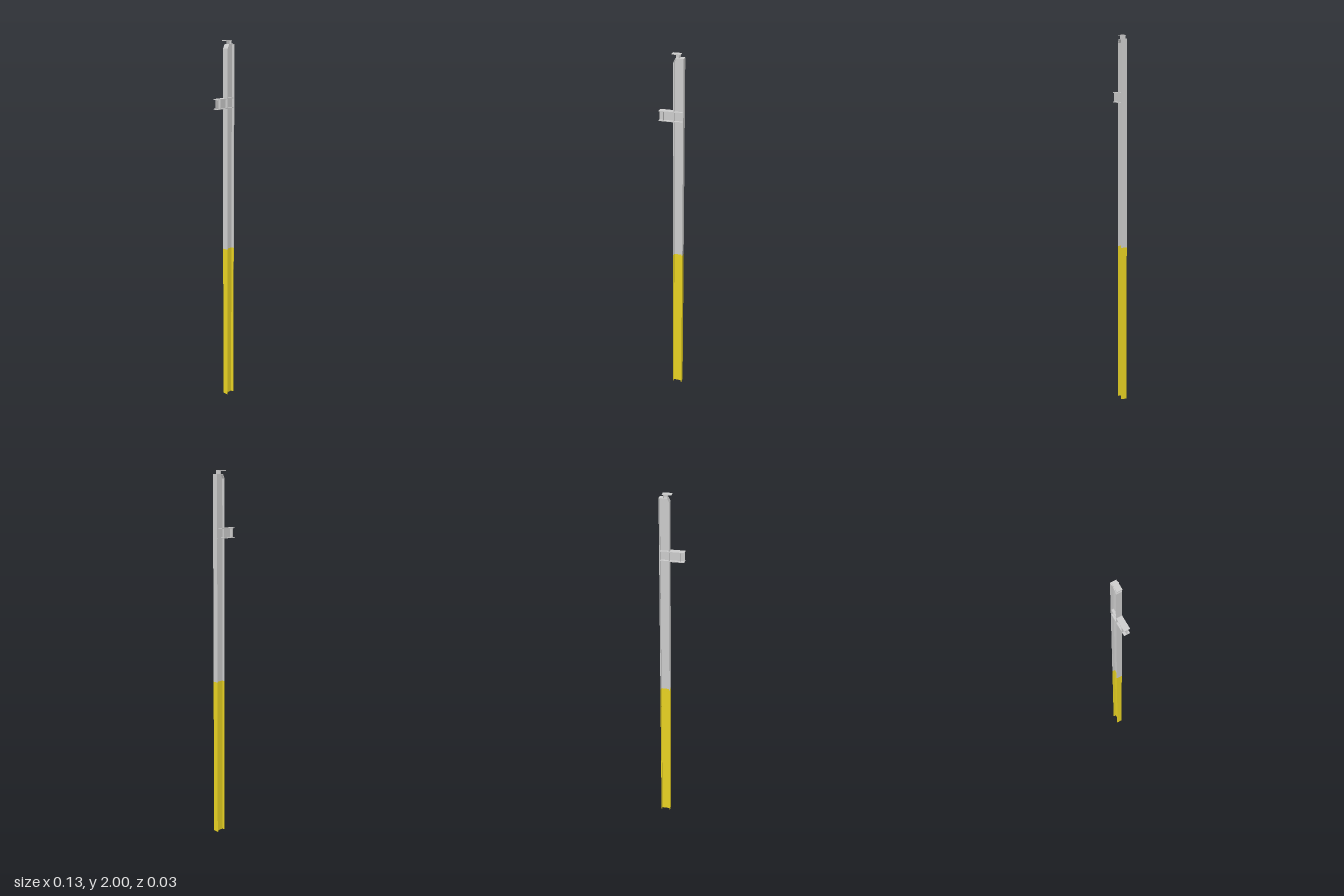
import * as THREE from 'three';

export function createModel() {
  const model = new THREE.Group();
  const steel = new THREE.MeshStandardMaterial({ color: 0xcccccc });
  const yellow = new THREE.MeshStandardMaterial({ color: 0xe8d222 });
  const depth = 0.031, flange = 0.004, web = 0.003;
  const left = 0.011, right = 0.064, split = 0.88, top = 1.98;

  // Box given by its x and y limits, and its depth and centre in z
  function box(name, parent, x0, x1, y0, y1, d = depth, material = steel, z = 0) {
    const mesh = new THREE.Mesh(new THREE.BoxGeometry(x1 - x0, y1 - y0, d), material);
    mesh.position.set((x0 + x1) / 2, (y0 + y1) / 2, z);
    mesh.name = name;
    parent.add(mesh);
  }
  // Outline in x and y, extruded evenly about z = 0
  function plate(name, parent, points, d) {
    const shape = new THREE.Shape(points.map(([x, y]) => new THREE.Vector2(x, y)));
    const geometry = new THREE.ExtrudeGeometry(shape, { depth: d, bevelEnabled: false });
    geometry.translate(0, 0, -d / 2);
    const mesh = new THREE.Mesh(geometry, steel);
    mesh.name = name;
    parent.add(mesh);
  }
  function group(name) {
    const g = new THREE.Group();
    g.name = name;
    model.add(g);
    return g;
  }

  // Painted lower half of the I-section column
  const lower = group('lowerColumn');
  box('lowerInnerFlange', lower, left, left + flange, 0, split, depth, yellow);
  box('lowerOuterFlange', lower, right - flange, right, 0, split, depth, yellow);
  box('lowerWeb', lower, left + flange, right - flange, 0, split, web, yellow);

  // Bare upper half, whose inner flange bends inward at the top
  const upper = group('upperColumn');
  const bendY = 1.958, bendX = 0.022;
  plate('upperInnerFlange', upper, [
    [left, split], [left + flange, split], [left + flange, bendY],
    [bendX + 0.003, top - flange], [bendX, top], [left, bendY],
  ], depth);
  box('upperOuterFlange', upper, right - flange, right, split, top);
  plate('upperWeb', upper, [
    [left + flange, split], [right - flange, split], [right - flange, top - flange],
    [bendX + 0.003, top - flange], [left + flange, bendY],
  ], web);
  box('columnLid', upper, bendX, right - flange, top - flange, top);

  // Small seat on top of the column
  const seat = group('topSeat');
  box('seatPlate', seat, 0.001, 0.048, 1.996, 2, 0.027, steel, -0.002);
  box('seatWeb', seat, 0.022, 0.039, top, 1.996, web);
  box('seatEndPlate', seat, 0.039, 0.042, top, 1.996);

  // Short I-section arm, carried through the column as stiffeners
  const arm = group('sideArm');
  const armEnd = -0.064, y0 = 1.652, y1 = 1.706;
  box('armWeb', arm, armEnd, left, y0 + flange, y1 - flange, web);
  box('armStiffener', arm, -0.044, -0.041, y0 + flange, y1 - flange);
  for (const y of [y0, y1 - flange]) {
    box('armFlange', arm, armEnd, left, y, y + flange);
    box('columnStiffener', arm, left + flange, right - flange, y, y + flange, depth - 0.002);
  }
  return model;
}
